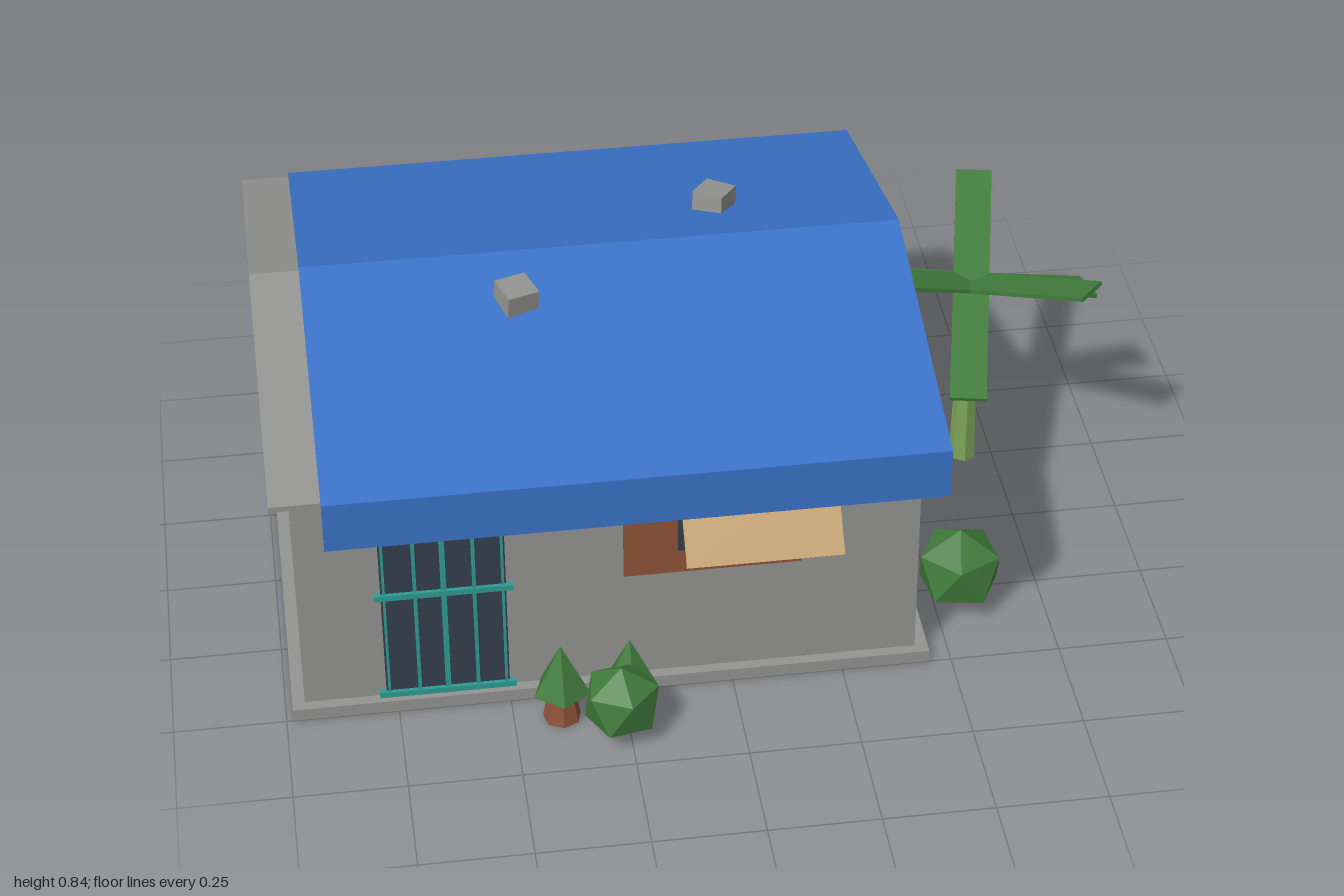
import * as THREE from 'three';

const mat = (name, color) => {
  const m = new THREE.MeshStandardMaterial({ color });
  m.name = name;
  return m;
};

export function createModel() {
  const root = new THREE.Group();
  root.name = 'house';
  const grey = mat('concreteGrey', 0x949492);
  const blue = mat('roofBlue', 0x3a72c8);
  const rust = mat('rustBrown', 0x8e5338);
  const tan = mat('sandTan', 0xc09e6c);
  const slate = mat('slateDark', 0x333f4d);
  const teal = mat('teal', 0x2f9c92);
  const leaf = mat('leafGreen', 0x417c3c);
  const bark = mat('palmGreen', 0x7ca558);

  // Faceted mesh: every face gets its own normal
  const add = (name, geo, material, x = 0, y = 0, z = 0, parent = root) => {
    const g = geo.index ? geo.toNonIndexed() : geo;
    g.computeVertexNormals();
    const m = new THREE.Mesh(g, material);
    m.name = name;
    m.position.set(x, y, z);
    parent.add(m);
    return m;
  };
  // Box given by its min and max on each axis
  const slab = (name, material, [x0, x1], [y0, y1], [z0, z1], parent = root) =>
    add(name, new THREE.BoxGeometry(x1 - x0, y1 - y0, z1 - z0), material,
      (x0 + x1) / 2, (y0 + y1) / 2, (z0 + z1) / 2, parent);
  // Cross-section in (z, y), extruded from x0 to x1
  const section = (name, material, pts, x0, x1) => {
    const shape = new THREE.Shape(pts.map(([z, y]) => new THREE.Vector2(z, y)));
    const geo = new THREE.ExtrudeGeometry(shape, { depth: x1 - x0, bevelEnabled: false });
    return add(name, geo.rotateY(-Math.PI / 2), material, x1, 0, 0);
  };

  // Plinth and gabled walls
  slab('plinth', grey, [-0.985, 0.45], [0, 0.03], [-0.63, 0.5]);
  const ridge = -0.064;
  section('walls', grey,
    [[0.475, 0.03], [0.475, 0.667], [ridge, 0.804], [-0.6, 0.667], [-0.6, 0.03]], -0.957, 0.42);

  // Roof slab, blue covering and front valance
  const chevron = (front, back, eave, top, t) => [
    [front, eave - t], [front, eave], [ridge, top], [back, eave], [back, eave - t], [ridge, top - t]];
  section('roofSlab', grey, chevron(0.575, -0.705, 0.658, 0.819, 0.013), -1, 0.455);
  section('roofCover', blue, chevron(0.588, -0.716, 0.661, 0.827, 0.008), -0.89, 0.46);
  slab('valance', blue, [-0.89, 0.46], [0.54, 0.661], [0.584, 0.59]);

  // Small roof vents
  for (const [x, y, z, yaw, tilt] of [[-0.422, 0.808, 0.085, 0.35, 0.1], [0.066, 0.8, -0.25, -0.6, -0.14]]) {
    const vent = add('roofVent', new THREE.BoxGeometry(0.074, 0.052, 0.074), grey, x, y, z);
    vent.rotation.set(tilt, yaw, -0.06);
  }

  // Painted wall panels
  slab('frontPanel', rust, [-0.24, 0.155], [0.308, 0.667], [0.474, 0.479]);
  slab('sidePanel', rust, [0.419, 0.424], [0.308, 0.675], [-0.43, 0.12]);
  slab('backPanel', tan, [-0.145, 0.35], [0.308, 0.667], [-0.604, -0.599]);

  // Door with teal grille
  slab('door', slate, [-0.775, -0.5], [0.03, 0.62], [0.474, 0.481]);
  for (const y of [0.04, 0.315])
    slab('doorRail', teal, [-0.79, -0.485], [y - 0.007, y + 0.007], [0.476, 0.49]);
  for (const [x, w] of [[-0.768, 0.003], [-0.7, 0.004], [-0.637, 0.006], [-0.57, 0.004], [-0.507, 0.003]])
    slab('doorBar', teal, [x - w, x + w], [0.03, 0.62], [0.48, 0.487]);

  // Window with sloping awning
  slab('window', slate, [-0.12, 0.222], [0.372, 0.585], [0.478, 0.485]);
  const awning = add('awning', new THREE.BoxGeometry(0.345, 0.008, 0.216), tan, 0.053, 0.512, 0.551);
  awning.rotation.x = 0.867;

  // Palm: tapered trunk and three crossed, tilted planks
  const palm = new THREE.Group();
  palm.name = 'palm';
  palm.position.set(0.68, 0, -0.257);
  root.add(palm);
  add('palmTrunk', new THREE.CylinderGeometry(0.02, 0.033, 0.5, 7), bark, 0, 0.25, 0, palm);
  for (const [yaw, tilt] of [[78, 18], [16.5, -18], [-44, 18]]) {
    const frond = new THREE.BoxGeometry(0.68, 0.01, 0.085);
    frond.rotateZ(THREE.MathUtils.degToRad(tilt)).rotateY(THREE.MathUtils.degToRad(yaw));
    add('palmFrond', frond, leaf, 0, 0.502, 0, palm);
  }

  // Round bushes standing on one corner
  for (const [x, z, r, yaw] of [[0.555, 0.3, 0.105, 0.15], [-0.268, 0.64, 0.092, 0.5]]) {
    const geo = new THREE.IcosahedronGeometry(r, 0).rotateZ(0.5536).rotateY(yaw);
    add('bush', geo, leaf, x, r, z);
  }

  // Small conifers
  for (const x of [-0.393, -0.24]) {
    add('treeTrunk', new THREE.CylinderGeometry(0.024, 0.043, 0.1, 7), rust, x, 0.05, 0.567);
    add('treeCrown', new THREE.ConeGeometry(0.066, 0.125, 5), leaf, x, 0.138, 0.567);
  }

  return root;
}
